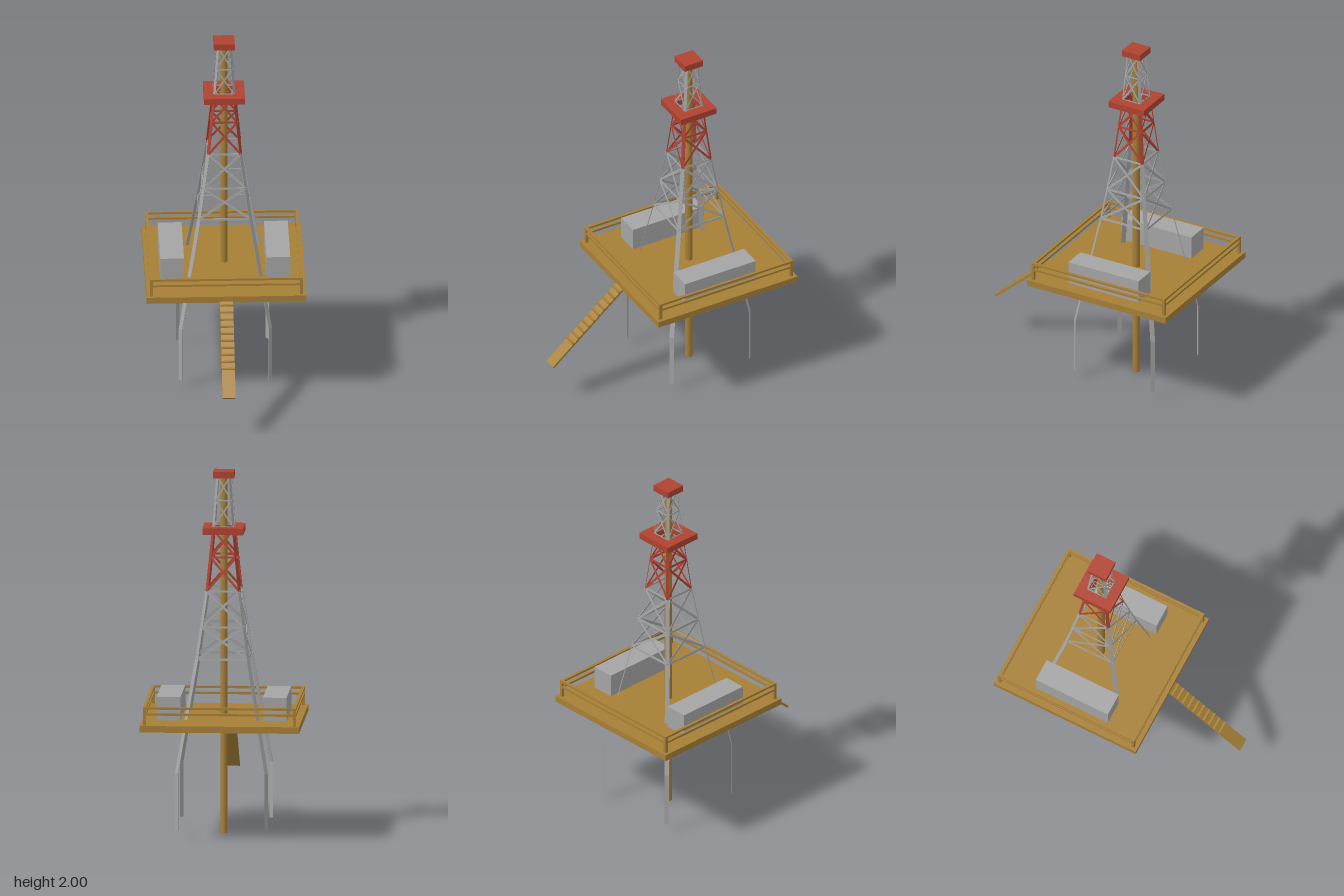
import * as THREE from 'three';

const paint = (name, hex) => {
  const m = new THREE.MeshStandardMaterial({ color: hex });
  m.name = name;
  return m;
};

export function createModel() {
  const ochre = paint('ochre', 0xa67f36);
  const grey = paint('steel grey', 0xa4a4a4);
  const red = paint('signal red', 0xb04230);
  const model = new THREE.Group();
  model.name = 'drillingRig';
  const V = (x, y, z) => new THREE.Vector3(x, y, z);

  const box = (parent, name, mat, w, h, d, x, y, z) => {
    const m = new THREE.Mesh(new THREE.BoxGeometry(w, h, d), mat);
    m.name = name;
    m.position.set(x, y, z);
    parent.add(m);
    return m;
  };

  // Flat steel strip from a to b whose broad side faces the given direction
  const strip = (parent, name, mat, a, b, width, facing) => {
    const dir = b.clone().sub(a);
    const len = dir.length();
    const y = dir.normalize();
    const x = y.clone().cross(facing).normalize();
    const z = x.clone().cross(y);
    const mid = a.clone().add(b).multiplyScalar(0.5);
    const m = box(parent, name, mat, width, len, 0.002, 0, 0, 0);
    m.quaternion.setFromRotationMatrix(new THREE.Matrix4().makeBasis(x, y, z));
    m.position.copy(mid);
  };

  // Everything but the stairs is centred on the drill axis
  const rig = new THREE.Group();
  rig.name = 'rig';
  rig.position.z = -0.22;
  model.add(rig);

  // Central drill pipe
  const pipe = new THREE.Mesh(new THREE.CylinderGeometry(0.02, 0.02, 1.97, 20), ochre);
  pipe.name = 'drillPipe';
  pipe.position.y = 0.985;
  rig.add(pipe);

  // Main deck and equipment cabins
  box(rig, 'deck', ochre, 0.872, 0.036, 0.872, 0, 0.632, 0);
  for (const s of [-1, 1]) box(rig, 'cabin', grey, 0.13, 0.13, 0.442, s * 0.29, 0.715, 0.002);

  // Railing: corner posts and two rails per side
  for (const sx of [-1, 1]) {
    for (const sz of [-1, 1]) box(rig, 'railPost', ochre, 0.016, 0.1, 0.016, sx * 0.41, 0.699, sz * 0.41);
    for (const y of [0.711, 0.744]) {
      box(rig, 'sideRail', ochre, 0.016, 0.012, 0.836, sx * 0.41, y, 0);
      box(rig, 'endRail', ochre, 0.836, 0.012, 0.016, 0, y, sx * 0.41);
    }
  }

  // Tower half-width by height
  const profile = [[0.05, 0.245], [0.36, 0.245], [0.975, 0.141], [1.345, 0.089], [1.695, 0.054], [1.97, 0.034]];
  const half = (y) => {
    for (let i = 1; i < profile.length; i++) {
      const [y0, w0] = profile[i - 1], [y1, w1] = profile[i];
      if (y <= y1) return w0 + (w1 - w0) * (y - y0) / (y1 - y0);
    }
    return profile[profile.length - 1][1];
  };

  // Legs: flat strips facing outward along the diagonals
  const legMats = [grey, grey, grey, red, grey];
  const legWidths = [0.026, 0.026, 0.022, 0.02, 0.018];
  for (const sx of [-1, 1]) for (const sz of [-1, 1]) {
    legMats.forEach((mat, i) => {
      const [y0, w0] = profile[i], [y1, w1] = profile[i + 1];
      strip(rig, 'towerLeg', mat, V(sx * w0, y0, sz * w0), V(sx * w1, y1, sz * w1), legWidths[i], V(sx, 0, sz));
    });
  }

  // Lattice: a horizontal and a crossed pair per bay on each face
  const bays = [
    [0.975, 1.15, grey, 0.013], [1.15, 1.345, grey, 0.013],
    [1.345, 1.53, red, 0.012], [1.53, 1.68, red, 0.012],
    [1.695, 1.84, grey, 0.008], [1.84, 1.97, grey, 0.008],
  ];
  for (let k = 0; k < 4; k++) {
    const side = new THREE.Group();
    side.name = 'latticeSide';
    side.rotation.y = k * Math.PI / 2;
    rig.add(side);
    const at = (s, y) => V(s * half(y), y, half(y));
    const out = V(0, 0.1, 1);
    for (const [y0, y1, mat, w] of bays) {
      strip(side, 'crossBrace', mat, at(-1, y0), at(1, y1), w, out);
      strip(side, 'crossBrace', mat, at(1, y0), at(-1, y1), w, out);
      strip(side, 'girt', y0 === 1.345 ? grey : mat, at(-1, y0), at(1, y0), w, out);
    }
  }

  // Tower platform: a square ring around the pipe
  const ring = new THREE.Shape([[-1, -1], [1, -1], [1, 1], [-1, 1]].map(([x, y]) => new THREE.Vector2(x * 0.112, y * 0.112)));
  ring.holes.push(new THREE.Path([[-1, -1], [-1, 1], [1, 1], [1, -1]].map(([x, y]) => new THREE.Vector2(x * 0.056, y * 0.056))));
  const platform = new THREE.Mesh(new THREE.ExtrudeGeometry(ring, { depth: 0.036, bevelEnabled: false }), red);
  platform.name = 'towerPlatform';
  platform.rotation.x = -Math.PI / 2;
  platform.position.y = 1.659;
  rig.add(platform);

  // Crown block
  box(rig, 'crown', red, 0.114, 0.036, 0.114, 0, 1.982, 0);

  // Stairs: sloping ramp with treads on the upper part
  const top = V(0, 0.617, 0.21), foot = V(0, 0.246, 0.648);
  const run = foot.clone().sub(top);
  const ramp = box(model, 'stairRamp', ochre, 0.072, 0.012, run.length(), 0, 0, 0);
  ramp.position.copy(top).add(foot).multiplyScalar(0.5);
  ramp.rotation.x = Math.atan2(-run.y, run.z);
  for (let i = 0; i < 10; i++) {
    const p = top.clone().addScaledVector(run, 0.04 + i * 0.073);
    box(model, 'stairTread', ochre, 0.072, 0.008, 0.022, 0, p.y + 0.004, p.z + 0.002);
  }
  return model;
}
